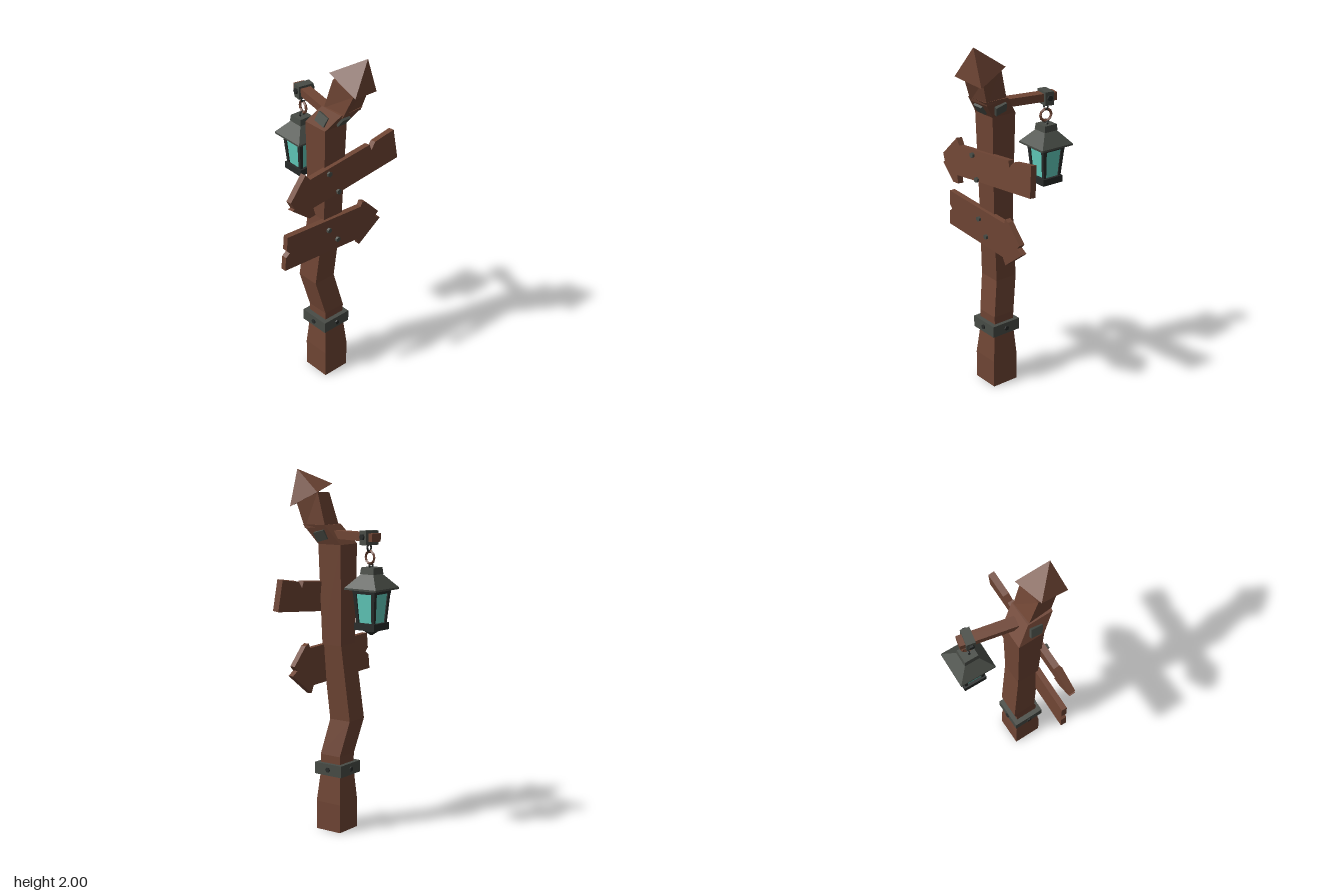
import * as THREE from 'three';

const mat = (name, color) => {
  const m = new THREE.MeshStandardMaterial({ color });
  m.name = name;
  return m;
};

// Faceted copy of a geometry
function flat(geo) {
  const g = geo.index ? geo.toNonIndexed() : geo;
  g.computeVertexNormals();
  return g;
}

// Four-cornered ring: centre, half width, twist about y, drop of the front edge
function ring(x, y, z, h, twist = 0, tilt = 0) {
  return [[-h, h], [h, h], [h, -h], [-h, -h]].map(([a, b]) => {
    const dx = a * Math.cos(twist) + b * Math.sin(twist);
    const dz = b * Math.cos(twist) - a * Math.sin(twist);
    return [x + dx, y - tilt * dz, z + dz];
  });
}

// Closed solid through rings of four corners, from bottom to top
function loft(rings) {
  const p = [];
  const quad = (a, b, c, d) => p.push(...a, ...b, ...c, ...a, ...c, ...d);
  const first = rings[0], last = rings[rings.length - 1];
  quad(first[0], first[3], first[2], first[1]);
  quad(...last);
  for (let i = 0; i < rings.length - 1; i++) {
    for (let j = 0; j < 4; j++) {
      const k = (j + 1) % 4;
      quad(rings[i][j], rings[i][k], rings[i + 1][k], rings[i + 1][j]);
    }
  }
  const g = new THREE.BufferGeometry();
  g.setAttribute('position', new THREE.Float32BufferAttribute(p, 3));
  g.computeVertexNormals();
  return g;
}

export function createModel() {
  const wood = mat('wood', 0x6f4534);
  const iron = mat('iron', 0x484c46);
  const darkIron = mat('dark iron', 0x282b2a);
  const glass = mat('lantern glass', 0x62cdbd);
  const model = new THREE.Group();
  model.name = 'signpost';

  function add(name, geo, material, pos = [0, 0, 0], rot = [0, 0, 0], parent = model) {
    const m = new THREE.Mesh(geo, material);
    m.name = name;
    m.position.set(...pos);
    m.rotation.set(...rot);
    parent.add(m);
    return m;
  }
  const box = (w, h, d) => new THREE.BoxGeometry(w, h, d);
  const bolt = (r, len) => flat(new THREE.CylinderGeometry(r, r, len, 6));
  const alongZ = [Math.PI / 2, 0, 0], alongX = [0, 0, Math.PI / 2];

  // Crooked post
  add('post', loft([
    ring(-0.04, 0, 0.078, 0.081),
    ring(-0.04, 0.16, 0.078, 0.081),
    ring(-0.04, 0.35, 0.075, 0.064),
    ring(-0.04, 0.43, 0.075, 0.066),
    ring(-0.075, 0.63, 0.033, 0.067),
    ring(-0.047, 1.05, 0.07, 0.064),
    ring(-0.045, 1.6, 0.075, 0.075),
    ring(-0.005, 1.705, 0.152, 0.073),
  ]), wood);
  add('postTop', loft([
    ring(-0.003, 1.69, 0.15, 0.066, 0.05, 0.1),
    ring(0.012, 1.85, 0.2, 0.066, 0.15, 0.42),
  ]), wood);

  // Pointed cap, leaning forward
  const apex = [0.045, 2, 0.28];
  add('cap', loft([
    [[-0.07, 1.83, 0.315], [0.11, 1.8, 0.28], [0.09, 1.88, 0.11], [-0.09, 1.92, 0.145]],
    [apex, apex, apex, apex],
  ]), wood);

  // Iron band round the foot, with a bolt on each side
  add('footBand', box(0.18, 0.066, 0.18), iron, [-0.043, 0.352, 0.075]);
  add('bandBoltZ', bolt(0.014, 0.195), darkIron, [-0.043, 0.352, 0.075], alongZ);
  add('bandBoltX', bolt(0.014, 0.195), darkIron, [-0.043, 0.352, 0.075], alongX);

  // Iron plates at the bend
  add('frontPlate', box(0.06, 0.055, 0.02), iron, [-0.027, 1.643, 0.185], [0.63, 0, -0.1]);
  add('leftPlate', box(0.02, 0.055, 0.07), iron, [0.051, 1.648, 0.115], [0.25, 0, -0.38]);
  add('rightPlate', box(0.02, 0.055, 0.07), iron, [-0.103, 1.65, 0.11], [0.25, 0, -0.38]);

  // Arrow boards: outline in the front plane, hung about their own middle height
  function board(name, outline, midY, z, depth, rot, nails) {
    const g = new THREE.Group();
    g.name = name;
    g.position.set(0, midY, z);
    g.rotation.set(...rot);
    model.add(g);
    const shape = new THREE.Shape(outline.map(([x, y]) => new THREE.Vector2(x, y - midY)));
    const geo = new THREE.ExtrudeGeometry(shape, { depth, bevelEnabled: false });
    add(name + 'Plank', geo, wood, [0, 0, -depth / 2], [0, 0, 0], g);
    for (const [x, y] of nails) {
      add(name + 'Nail', bolt(0.015, 0.02), iron, [x, y - midY, depth / 2 + 0.003], alongZ, g);
    }
  }
  board('upperBoard', [
    [0.379, 1.267], [0.363, 1.436], [0.225, 1.415], [0.193, 1.378], [0.183, 1.413],
    [-0.241, 1.373], [-0.268, 1.41], [-0.379, 1.293], [-0.358, 1.25], [-0.374, 1.245],
    [-0.268, 1.16], [-0.225, 1.163], [-0.236, 1.208],
  ], 1.3, 0.161, 0.036, [-0.11, 0, 0], [[-0.114, 1.357], [-0.06, 1.235]]);
  board('lowerBoard', [
    [-0.374, 1.065], [0.135, 1.044], [0.146, 1.07], [0.172, 1.06], [0.268, 0.96],
    [0.245, 0.935], [0.284, 0.911], [0.135, 0.795], [0.114, 0.837], [-0.39, 0.858],
    [-0.384, 0.938], [-0.358, 0.959], [-0.379, 0.98],
  ], 0.94, 0.135, 0.032, [0.03, -0.03, 0], [[-0.093, 0.991], [-0.03, 0.906]]);

  // Bracket arm with its clamp
  add('bracketArm', box(0.06, 0.044, 0.31), wood, [0.018, 1.653, -0.098], [0, -0.22, 0]);
  add('clamp', box(0.09, 0.075, 0.05), iron, [0.043, 1.65, -0.195], [0, -0.2, 0]);
  add('clampBolt', bolt(0.016, 0.112), darkIron, [0.043, 1.655, -0.195], [0, -0.2, Math.PI / 2]);

  // Hanging links
  add('eyeLink', flat(new THREE.TorusGeometry(0.018, 0.006, 4, 8)), darkIron, [0.043, 1.598, -0.197]);
  add('ring', flat(new THREE.TorusGeometry(0.033, 0.008, 4, 10)), wood, [0.04, 1.547, -0.2], [0, Math.PI / 2 - 0.2, 0]);
  add('lowerLink', flat(new THREE.TorusGeometry(0.015, 0.006, 4, 8)), darkIron, [0.037, 1.503, -0.205]);

  // Lantern, built round its own axis
  const lantern = new THREE.Group();
  lantern.name = 'lantern';
  lantern.position.set(0.035, 0, -0.208);
  lantern.rotation.y = -0.03;
  model.add(lantern);
  const stack = (name, material, ...levels) =>
    add(name, loft(levels.map(([y, h]) => ring(0, y, 0, h))), material, [0, 0, 0], [0, 0, 0], lantern);
  stack('lanternCap', iron, [1.46, 0.044], [1.495, 0.04]);
  stack('lanternRoof', iron, [1.378, 0.103], [1.388, 0.103], [1.465, 0.036]);
  stack('lanternTopRim', darkIron, [1.358, 0.072], [1.38, 0.074]);
  stack('lanternGlass', glass, [1.2, 0.05], [1.365, 0.065]);
  stack('lanternBase', darkIron, [1.165, 0.066], [1.203, 0.066]);
  stack('lanternFoot', darkIron, [1.135, 0.004], [1.155, 0.027], [1.167, 0.027]);
  for (const sx of [-1, 1]) {
    for (const sz of [-1, 1]) {
      add('lanternCorner', loft([
        ring(sx * 0.049, 1.195, sz * 0.049, 0.008),
        ring(sx * 0.061, 1.37, sz * 0.061, 0.011),
      ]), darkIron, [0, 0, 0], [0, 0, 0], lantern);
    }
  }
  return model;
}
